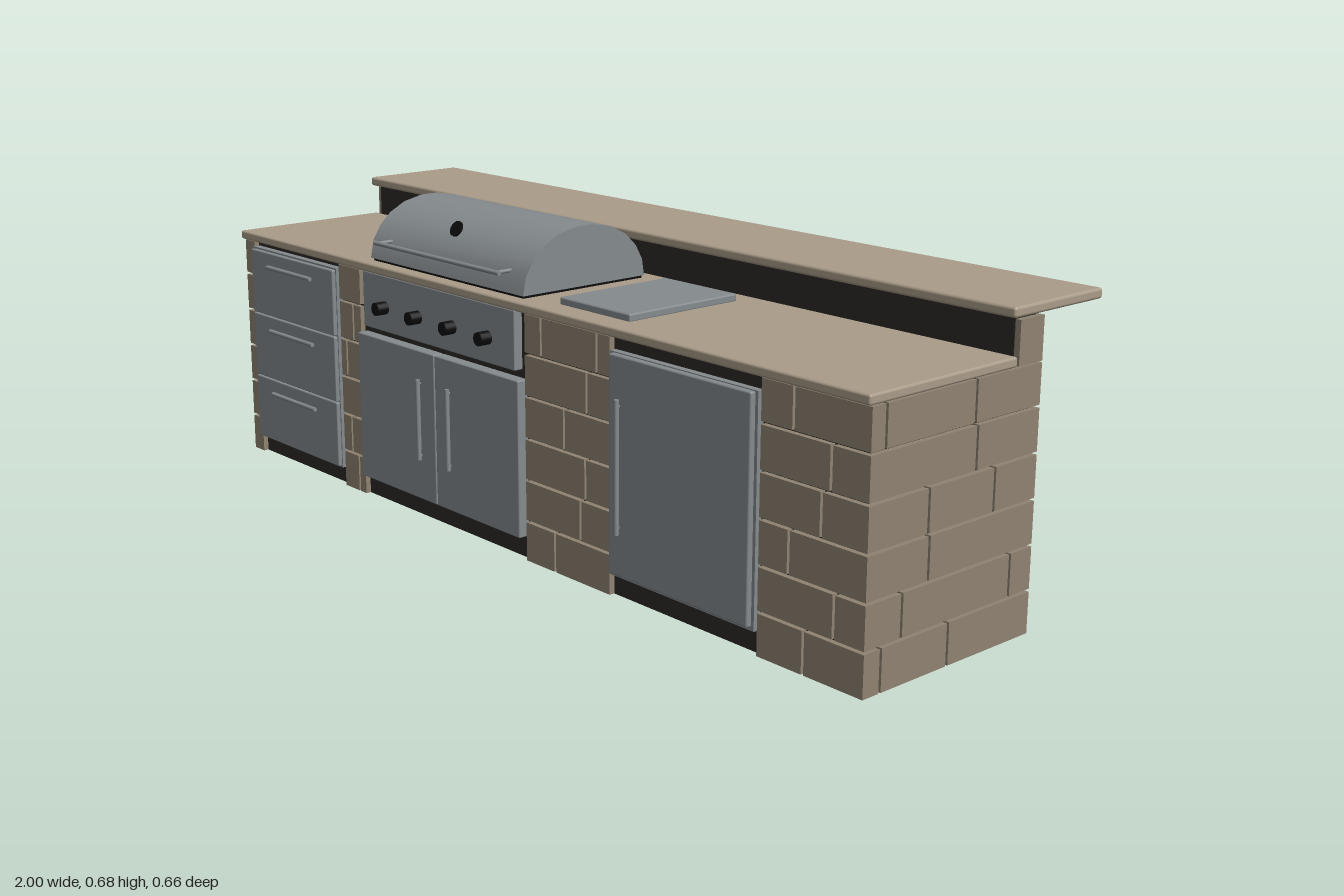
import * as THREE from 'three';
import { RoundedBoxGeometry } from 'three/addons/geometries/RoundedBoxGeometry.js';
import { toCreasedNormals } from 'three/addons/utils/BufferGeometryUtils.js';

const mat = (color) => new THREE.MeshStandardMaterial({ color });
const brickMat = mat(0x8f8371), mortarMat = mat(0x2b2926), stoneMat = mat(0xaa9c89);
const steelMat = mat(0x858b8e), blackMat = mat(0x0c0c0c);

export function createModel() {
  const model = new THREE.Group();
  model.name = 'outdoorKitchen';

  const group = (name) => {
    const g = new THREE.Group();
    g.name = name;
    model.add(g);
    return g;
  };
  const add = (parent, name, geometry, material) => {
    const mesh = new THREE.Mesh(geometry, material);
    mesh.name = name;
    parent.add(mesh);
    return mesh;
  };
  // Box given by its limits on each axis; r rounds the edges
  const box = (parent, name, [x0, x1], [y0, y1], [z0, z1], material, r = 0) => {
    const size = [x1 - x0, y1 - y0, z1 - z0];
    const geo = r ? new RoundedBoxGeometry(...size, 2, r) : new THREE.BoxGeometry(...size);
    const mesh = add(parent, name, geo, material);
    mesh.position.set((x0 + x1) / 2, (y0 + y1) / 2, (z0 + z1) / 2);
    return mesh;
  };
  // Rod along an axis, centred on a point
  const rod = (parent, name, axis, length, radius, pos, material = steelMat) => {
    const geo = new THREE.CylinderGeometry(radius, radius, length, 16);
    if (axis === 'x') geo.rotateZ(Math.PI / 2);
    if (axis === 'z') geo.rotateX(Math.PI / 2);
    const mesh = add(parent, name, geo, material);
    mesh.position.set(...pos);
    return mesh;
  };
  // Bar handle standing off the front on two posts
  const handle = (parent, axis, length, [x, y, z], back) => {
    rod(parent, 'handleBar', axis, length, 0.005, [x, y, z]);
    for (const s of [-0.45, 0.45]) {
      const px = axis === 'x' ? x + s * length : x;
      const py = axis === 'y' ? y + s * length : y;
      rod(parent, 'handlePost', 'z', z - back, 0.0035, [px, py, (z + back) / 2]);
    }
  };

  // Dark core and raised back wall
  const core = group('core');
  box(core, 'base', [-0.985, 0.985], [0, 0.525], [-0.15, 0.285], mortarMat);
  box(core, 'backWall', [-0.985, 0.985], [0.525, 0.615], [-0.15, -0.09], mortarMat);

  // Brick courses: each row is split at its cuts, leaving mortar gaps
  const PITCH = 0.0886, GAP = 0.006;
  const bricks = group('bricks');
  const course = (row, from, to, cuts, place) => {
    const y = row < 6 ? [row * PITCH, Math.min((row + 1) * PITCH - GAP, 0.522)] : [0.525, 0.61];
    const ends = [from, ...cuts.filter((c) => c > from + 0.02 && c < to - 0.02).sort((a, b) => a - b), to];
    for (let i = 0; i < ends.length - 1; i++) {
      const a = ends[i] + (i ? GAP / 2 : 0);
      const b = ends[i + 1] - (i < ends.length - 2 ? GAP / 2 : 0);
      place([a, b], y);
    }
  };

  // End walls
  const sideCuts = [[0.253, 0.073], [0.202, -0.097], [0.135], [0.14, -0.04], [0.015], [0.26, 0.023], []];
  for (const s of [-1, 1]) {
    const x = s > 0 ? [0.975, 0.997] : [-0.997, -0.975];
    sideCuts.forEach((cuts, row) =>
      course(row, -0.16, row < 6 ? 0.297 : -0.092, cuts, (z, y) => box(bricks, 'endBrick', x, y, z, brickMat)));
  }

  // Front piers between the appliances
  const piers = [[-0.975, -0.957], [-0.593, -0.51], [0.078, 0.338], [0.742, 0.975]];
  const frontCuts = [[-0.535, 0.17, 0.855], [-0.56, 0.09, 0.25, 0.925], [-0.53, 0.265, 0.815],
    [-0.57, 0.2, 0.89], [-0.54, 0.27, 0.91], [-0.525, 0.13, 0.3, 0.82]];
  frontCuts.forEach((cuts, row) => piers.forEach(([a, b]) =>
    course(row, a, b, cuts, (x, y) => box(bricks, 'frontBrick', x, y, [0.275, 0.297], brickMat))));

  // Back wall, with uneven brick lengths
  let seed = 7;
  const random = () => (seed = (seed * 16807) % 2147483647) / 2147483647;
  for (let row = 0; row < 7; row++) {
    const cuts = [];
    for (let x = -0.975 + 0.1 + 0.18 * random(); x < 0.9; x += 0.17 + 0.16 * random()) cuts.push(x);
    course(row, -0.975, 0.975, cuts, (x, y) => box(bricks, 'backBrick', x, y, [-0.16, -0.14], brickMat));
  }

  // Stone tops
  box(model, 'counterTop', [-1, 1], [0.525, 0.545], [-0.085, 0.307], stoneMat, 0.005);
  box(model, 'barTop', [-1, 1], [0.615, 0.636], [-0.331, -0.071], stoneMat, 0.006);
  box(model, 'barTopStrip', [-0.98, 0.98], [0.609, 0.616], [-0.317, -0.307], stoneMat);

  // Drawer unit
  const drawers = group('drawers');
  box(drawers, 'drawerFrame', [-0.953, -0.597], [0.042, 0.512], [0.28, 0.302], steelMat);
  for (let i = 0; i < 3; i++) {
    const y = 0.045 + i * 0.155;
    box(drawers, 'drawerFront', [-0.95, -0.6], [y, y + 0.153], [0.29, 0.311], steelMat, 0.003);
    handle(drawers, 'x', 0.185, [-0.778, y + 0.12, 0.316], 0.305);
  }

  // Cabinet doors below the grill
  const cabinet = group('cabinet');
  for (const s of [-1, 1]) {
    const mid = -0.2165;
    const xs = [mid + s * 0.001, mid + s * 0.287].sort((a, b) => a - b);
    box(cabinet, 'cabinetDoor', xs, [0.048, 0.383], [0.28, 0.31], steelMat, 0.003);
    handle(cabinet, 'y', 0.18, [mid + s * 0.053, 0.23, 0.316], 0.305);
  }

  // Refrigerator
  const fridge = group('refrigerator');
  box(fridge, 'fridgeFrame', [0.343, 0.737], [0.046, 0.497], [0.28, 0.3], steelMat);
  box(fridge, 'fridgeDoor', [0.35, 0.73], [0.053, 0.495], [0.29, 0.311], steelMat, 0.004);
  handle(fridge, 'y', 0.27, [0.38, 0.275, 0.317], 0.305);

  // Grill: control panel with knobs
  const grill = group('grill');
  box(grill, 'controlPanel', [-0.485, 0.055], [0.4, 0.526], [0.28, 0.305], steelMat, 0.003);
  for (const x of [-0.4, -0.277, -0.154, -0.032]) {
    rod(grill, 'knob', 'z', 0.03, 0.0145, [x, 0.455, 0.317], blackMat);
  }
  box(grill, 'grillBase', [-0.48, 0.05], [0.545, 0.553], [-0.043, 0.276], blackMat);

  // Domed lid, extruded sideways from its end profile (z, y)
  const profile = [[0.281, 0.551], [0.273, 0.59], [0.253, 0.622], [0.226, 0.647], [0.187, 0.667], [0.14, 0.677],
    [0.097, 0.677], [0.048, 0.667], [0.007, 0.647], [-0.022, 0.619], [-0.04, 0.587], [-0.046, 0.551]];
  const lidShape = new THREE.Shape(profile.map(([z, y]) => new THREE.Vector2(-z, y)));
  const lidGeo = new THREE.ExtrudeGeometry(lidShape, { depth: 0.54, bevelEnabled: false });
  lidGeo.rotateY(Math.PI / 2);
  const lid = add(grill, 'lid', toCreasedNormals(lidGeo, 0.7), steelMat);
  lid.position.x = -0.485;

  // Lid handle and thermometer
  rod(grill, 'lidHandle', 'x', 0.44, 0.005, [-0.21, 0.595, 0.306]);
  for (const x of [-0.42, 0]) rod(grill, 'lidHandlePost', 'z', 0.045, 0.004, [x, 0.595, 0.286]);
  const gauge = rod(grill, 'thermometer', 'z', 0.005, 0.0175, [-0.215, 0.648, 0.244], blackMat);
  gauge.rotation.x = -0.54;

  // Side burner cover let into the counter
  box(model, 'burnerCover', [0.135, 0.345], [0.543, 0.56], [-0.035, 0.252], steelMat, 0.004);

  return model;
}
